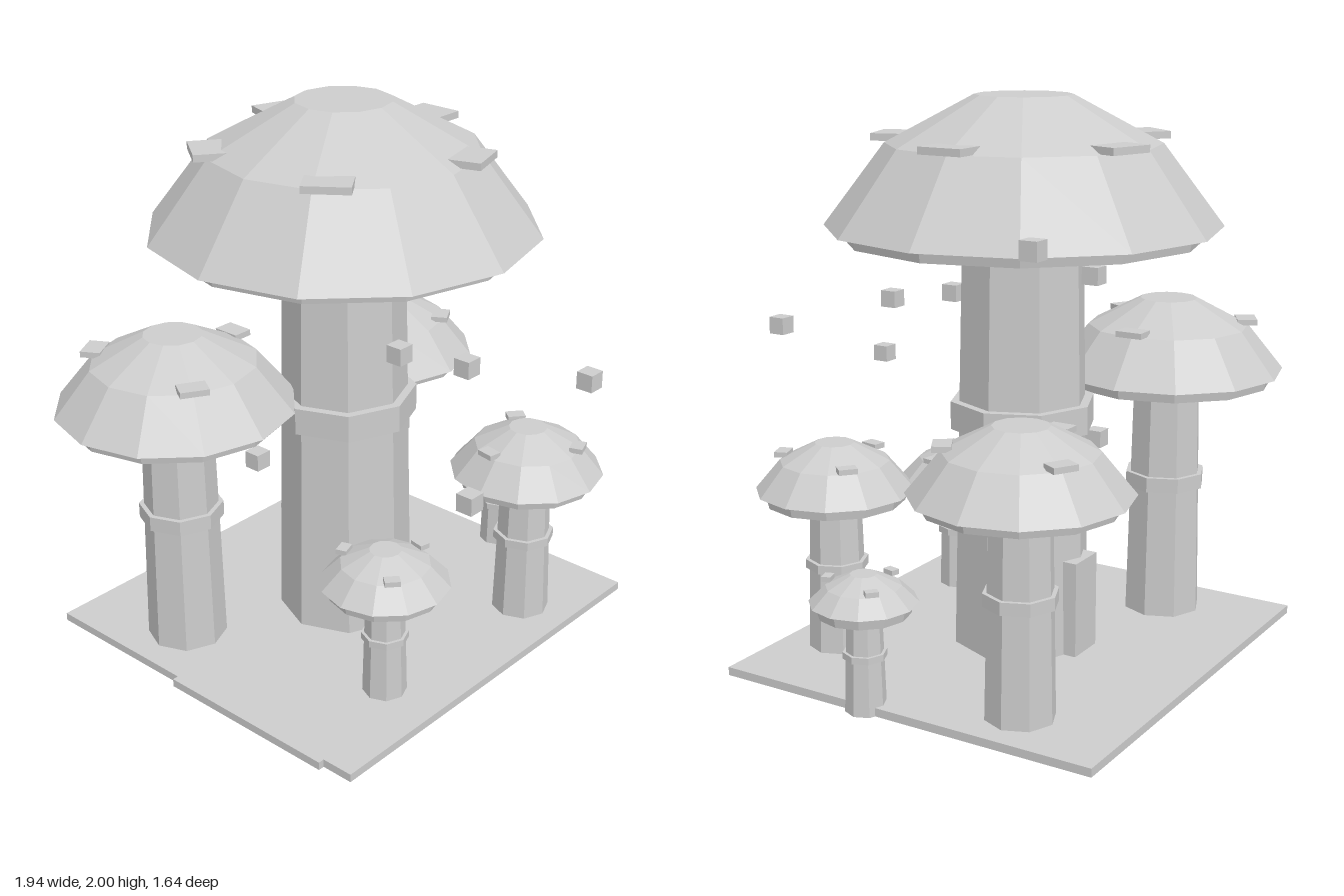
import * as THREE from 'three';

const lightGrey = new THREE.MeshStandardMaterial({ color: 0xcccccc, flatShading: true });
lightGrey.name = 'light grey';

function add(parent, name, geometry, x = 0, y = 0, z = 0) {
  const mesh = new THREE.Mesh(geometry, lightGrey);
  mesh.name = name;
  mesh.position.set(x, y, z);
  parent.add(mesh);
  return mesh;
}

// Twelve-sided cap with a recessed rim below; R is its widest radius
function capGeometry({ R, rim, top, rimY, edgeY, midY, topY }) {
  const profile = [
    [0, rimY], [rim - 0.008, rimY], [rim, edgeY], [R, edgeY],
    [R * 0.69, midY], [top, topY], [0, topY],
  ].map(([r, y]) => new THREE.Vector2(r, y));
  return new THREE.LatheGeometry(profile, 12);
}

function mushroom(p) {
  const g = new THREE.Group();
  g.name = p.name;
  g.position.set(p.x, 0, p.z);

  // Tapered octagonal stem and its collar
  add(g, 'stem', new THREE.CylinderGeometry(p.stemTop, p.stemBottom, p.rimY, 8), 0, p.rimY / 2, 0);
  const [c0, c1] = p.collarY;
  add(g, 'collar', new THREE.CylinderGeometry(p.collar, p.collar, c1 - c0, 8), 0, (c0 + c1) / 2, 0);
  add(g, 'cap', capGeometry(p));

  // Flat spots around the shoulder of the cap
  const t = 0.015 + p.R * 0.015;
  for (let i = 0; i < p.spots; i++) {
    const a = THREE.MathUtils.degToRad(p.spotStart) + (i / p.spots) * Math.PI * 2;
    const r = p.R * 0.67;
    const spot = add(g, 'spot', new THREE.BoxGeometry(p.R * 0.17, t, p.R * 0.236),
      Math.cos(a) * r, p.midY + 0.015, Math.sin(a) * r);
    spot.rotation.y = -a;
  }
  return g;
}

export function createModel() {
  const model = new THREE.Group();
  model.name = 'mushroomGrove';

  // Ground slab with a shallow step on one side
  add(model, 'ground', new THREE.BoxGeometry(1.575, 0.03, 1.45), 0.01, 0.015, -0.095);
  add(model, 'groundStep', new THREE.BoxGeometry(0.1, 0.03, 0.71), -0.75, 0.015, 0.155);

  const mushrooms = [
    { name: 'mainMushroom', x: 0.01, z: -0.1, R: 0.695, rim: 0.643, top: 0.17,
      rimY: 1.51, edgeY: 1.55, midY: 1.835, topY: 2.0,
      stemTop: 0.218, stemBottom: 0.25, collar: 0.262, collarY: [0.835, 0.935], spots: 5, spotStart: 0 },
    { name: 'backRightMushroom', x: -0.545, z: -0.395, R: 0.428, rim: 0.396, top: 0.105,
      rimY: 0.93, edgeY: 0.97, midY: 1.135, topY: 1.235,
      stemTop: 0.127, stemBottom: 0.146, collar: 0.152, collarY: [0.52, 0.575], spots: 3, spotStart: 0 },
    { name: 'backLeftMushroom', x: 0.597, z: -0.445, R: 0.372, rim: 0.342, top: 0.095,
      rimY: 0.76, edgeY: 0.795, midY: 0.935, topY: 1.02,
      stemTop: 0.107, stemBottom: 0.122, collar: 0.128, collarY: [0.425, 0.47], spots: 3, spotStart: 60 },
    { name: 'frontLeftMushroom', x: 0.42, z: 0.43, R: 0.283, rim: 0.257, top: 0.07,
      rimY: 0.58, edgeY: 0.62, midY: 0.725, topY: 0.79,
      stemTop: 0.092, stemBottom: 0.108, collar: 0.113, collarY: [0.33, 0.362], spots: 3, spotStart: 70 },
    { name: 'frontRightMushroom', x: -0.34, z: 0.4, R: 0.229, rim: 0.208, top: 0.056,
      rimY: 0.435, edgeY: 0.475, midY: 0.55, topY: 0.6,
      stemTop: 0.068, stemBottom: 0.08, collar: 0.084, collarY: [0.245, 0.27], spots: 3, spotStart: 131 },
    { name: 'leftMushroom', x: 0.768, z: 0.055, R: 0.184, rim: 0.165, top: 0.045,
      rimY: 0.347, edgeY: 0.387, midY: 0.443, topY: 0.483,
      stemTop: 0.06, stemBottom: 0.071, collar: 0.075, collarY: [0.19, 0.213], spots: 3, spotStart: 72 },
  ];
  mushrooms.forEach((m) => model.add(mushroom(m)));

  // Door set into the back of the main stem
  add(model, 'door', new THREE.BoxGeometry(0.15, 0.36, 0.08), 0.01, 0.2, -0.325);

  // Small cubes floating around the grove
  const spores = [
    [0.757, 1.61, -0.58], [-0.17, 1.245, 0.31], [-0.06, 1.22, 0.51], [0.258, 1.145, 0.785],
    [-0.355, 0.925, 0.763], [0, 1.4, -0.375], [-0.325, 0.725, -0.22],
  ];
  spores.forEach(([x, y, z]) => add(model, 'spore', new THREE.BoxGeometry(0.062, 0.062, 0.062), x, y, z));

  return model;
}
